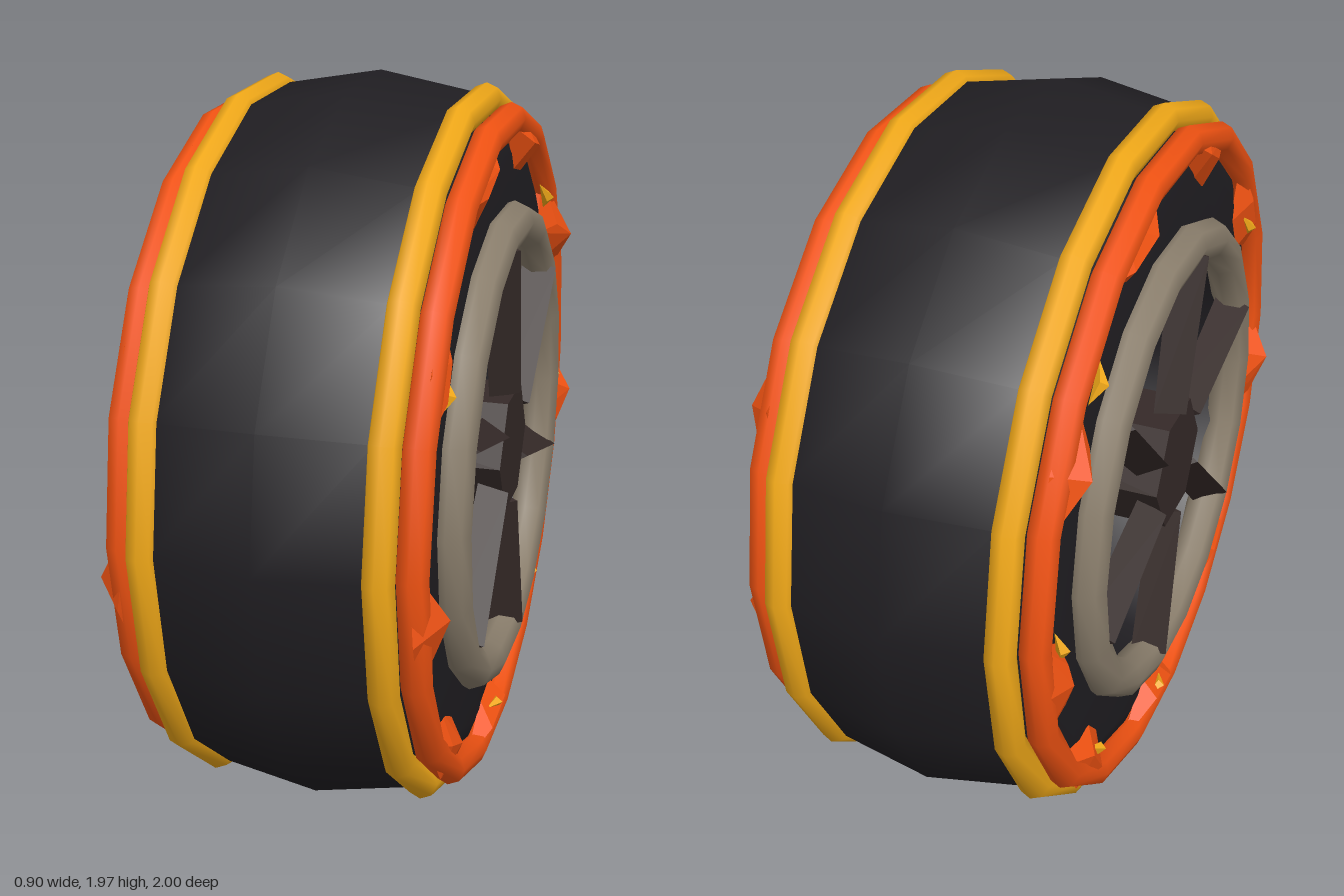
import * as THREE from 'three';
import { ConvexGeometry } from 'three/addons/geometries/ConvexGeometry.js';

const mat = (color, opts = {}) => new THREE.MeshStandardMaterial({ color, ...opts });
const V = (x, y) => new THREE.Vector2(x, y);
const rad = THREE.MathUtils.degToRad;

function add(parent, name, geometry, material) {
  const mesh = new THREE.Mesh(geometry, material);
  mesh.name = name;
  parent.add(mesh);
  return mesh;
}

// Small seeded generator, returns -1..1
function seeded(seed) {
  return () => {
    seed = (seed * 16807) % 2147483647;
    return (seed / 2147483647) * 2 - 1;
  };
}

export function createModel() {
  const model = new THREE.Group();
  const wheel = new THREE.Group();
  wheel.name = 'wheel';
  wheel.position.y = 0.985;
  model.add(wheel);

  const black = mat(0x201e22, { side: THREE.DoubleSide });
  const yellow = mat(0xf0a818);
  const orange = mat(0xf05212);
  const orangeFlat = mat(0xf05212, { flatShading: true });
  const grey = mat(0x8a7e6c);
  const brown = mat(0x352a28, { flatShading: true });

  // Tyre: crowned tread and sidewalls, turned about the x axis
  const half = [V(0.27, 0.952), V(0.335, 0.9), V(0.365, 0.8), V(0.37, 0.6)];
  const profile = [
    ...half.map(p => V(p.y, -p.x)).reverse(),
    V(1, 0),
    ...half.map(p => V(p.y, p.x)),
  ];
  add(wheel, 'tyre', new THREE.LatheGeometry(profile, 18).rotateZ(-Math.PI / 2), black);

  // Eight-sided inner barrel
  const barrel = [V(0.62, 0.365), V(0.56, 0.12), V(0.56, -0.12), V(0.62, -0.365)];
  add(wheel, 'innerBarrel', new THREE.LatheGeometry(barrel, 8).rotateZ(-Math.PI / 2), black);

  // Hexagonal hub running through the wheel
  add(wheel, 'hub', new THREE.CylinderGeometry(0.18, 0.18, 0.85, 6).rotateZ(-Math.PI / 2), brown);

  // Each face is built around local +z, then turned to +x or -x
  for (const m of [1, -1]) {
    const side = new THREE.Group();
    side.name = m > 0 ? 'leftFace' : 'rightFace';
    side.rotation.y = m * Math.PI / 2;
    wheel.add(side);

    const ring = (name, radius, tube, z, material) => {
      add(side, name, new THREE.TorusGeometry(radius, tube, 8, 18), material).position.z = z;
    };
    ring('shoulderRing', 0.938, 0.042, 0.292, yellow);
    ring('flameRing', 0.89, 0.042, 0.362, orange);
    ring('rimRing', 0.617, 0.056, 0.388, grey);

    // Six skewed, ridged spokes
    for (let i = 0; i < 6; i++) {
      const a = rad(30 + 60 * i);
      const d = rad(44 + 60 * i);
      const spoke = add(side, 'spoke', new THREE.CylinderGeometry(0.06, 0.052, 0.44, 3), brown);
      spoke.position.set(
        m * (0.16 * Math.cos(a) + 0.22 * Math.cos(d)),
        0.16 * Math.sin(a) + 0.22 * Math.sin(d),
        0.39
      );
      spoke.rotation.z = m * (d - Math.PI / 2);
    }

    // Nine jagged flame patches: points given as angle offset, radius, depth
    const rnd = seeded(77);
    const patch = [
      [-12, 0.9, 0.36], [-6, 0.82, 0.35], [-4, 0.76, 0.36], [5, 0.75, 0.36],
      [8, 0.81, 0.35], [12, 0.89, 0.36], [-5, 0.85, 0.405], [3, 0.82, 0.41],
      [0, 0.92, 0.37],
    ];
    const polar = (deg, r, z) =>
      new THREE.Vector3(m * r * Math.cos(rad(deg)), r * Math.sin(rad(deg)), z);
    for (let i = 0; i < 9; i++) {
      const centre = 30 - 40 * i;
      const pts = patch.map(([da, r, z]) =>
        polar(centre + da + 1.5 * rnd(), r + 0.012 * rnd(), z + 0.008 * rnd()));
      // Some patches have a small outward spike
      if (i % 4 === 1 || i === 0) pts.push(polar(centre + 3 * rnd(), 0.85, 0.445));
      add(side, 'flamePatch', new ConvexGeometry(pts), orangeFlat);
    }

    // Yellow slivers showing through the flames
    for (const deg of [-90, -50, 45, -4, 151]) {
      const sliver = [
        polar(deg - 4, 0.8, 0.38), polar(deg + 4, 0.81, 0.38),
        polar(deg, 0.785, 0.4), polar(deg, 0.82, 0.4), polar(deg, 0.8, 0.418),
      ];
      add(side, 'flameSliver', new ConvexGeometry(sliver), yellow);
    }
  }
  return model;
}
